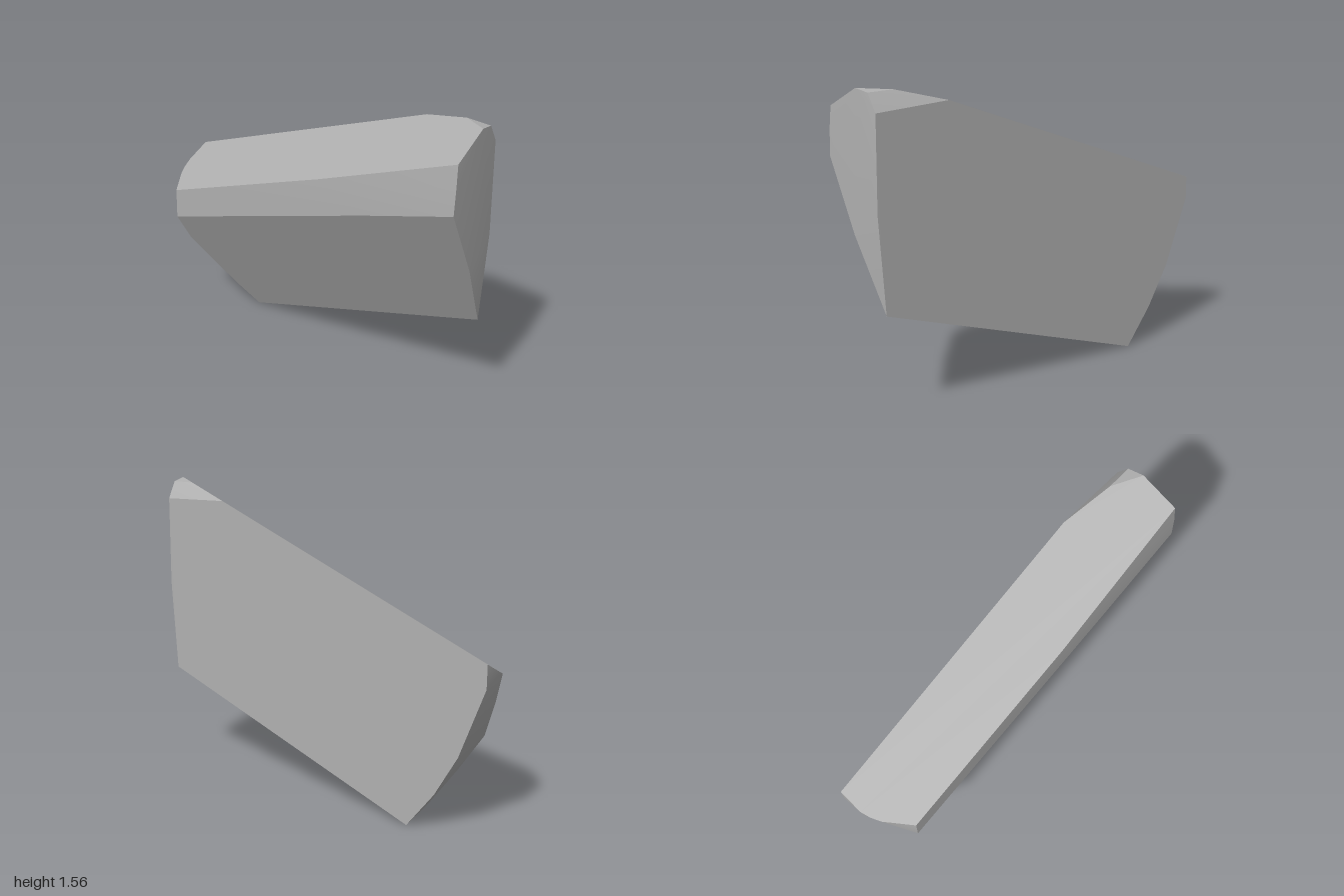
import * as THREE from 'three';
import { ConvexGeometry } from 'three/addons/geometries/ConvexGeometry.js';
import { toCreasedNormals } from 'three/addons/utils/BufferGeometryUtils.js';

// The slab's sloping top and bottom planes give the height at any (x, z)
const topY = (x, z) => 1.627 + 0.55 * (x - 0.17) + 0.37 * (z - 0.97);
const bottomY = (x, z) => 0.53 - 1.953 * (x - 0.17) + 0.344 * (z - 0.935);

const onTop = ([x, z]) => new THREE.Vector3(x, topY(x, z), z);
const onBottom = ([x, z]) => new THREE.Vector3(x, bottomY(x, z), z);
const free = ([x, y, z]) => new THREE.Vector3(x, y, z);

export function createModel() {
  const group = new THREE.Group();
  group.name = 'stoneShard';

  const stone = new THREE.MeshStandardMaterial({ color: 0xb0b0b0 });
  stone.name = 'stone grey';

  // Rim of the top face, with a rounded back corner and a clipped front corner
  const topRim = [
    [-0.155, 0.995], [-0.178, 0.2], [-0.18, -0.855],
    [-0.05, -0.96], [0, -0.985], [0.05, -1], [0.172, -1],
    [0.173, 0.57], [0.12, 0.83], [0.04, 0.975],
  ].map(onTop);

  // Rim of the steep underside, curving in at the back
  const bottomRim = [
    [-0.172, 1], [-0.178, 0.5], [-0.18, -0.86], [-0.1, -0.85],
    [0, -0.765], [0.1, -0.67], [0.173, -0.588], [0.173, 0.935], [0, 0.985],
  ].map(onBottom);

  // Clipped front corner, bulging front end and broken back end
  const breaks = [
    [0.12, 1.545, 0.96], [0.172, 1.46, 0.955], [0.172, 1.0, 0.963],
    [-0.165, 1.35, 1],
    [0.173, 0.78, -1], [0.173, 0.42, -0.865], [0.173, 0.2, -0.74],
    [0.05, 0.74, -0.99],
  ].map(free);

  const hull = new ConvexGeometry([...topRim, ...bottomRim, ...breaks]);
  const shard = new THREE.Mesh(toCreasedNormals(hull, THREE.MathUtils.degToRad(25)), stone);
  shard.name = 'shard';
  group.add(shard);
  return group;
}
